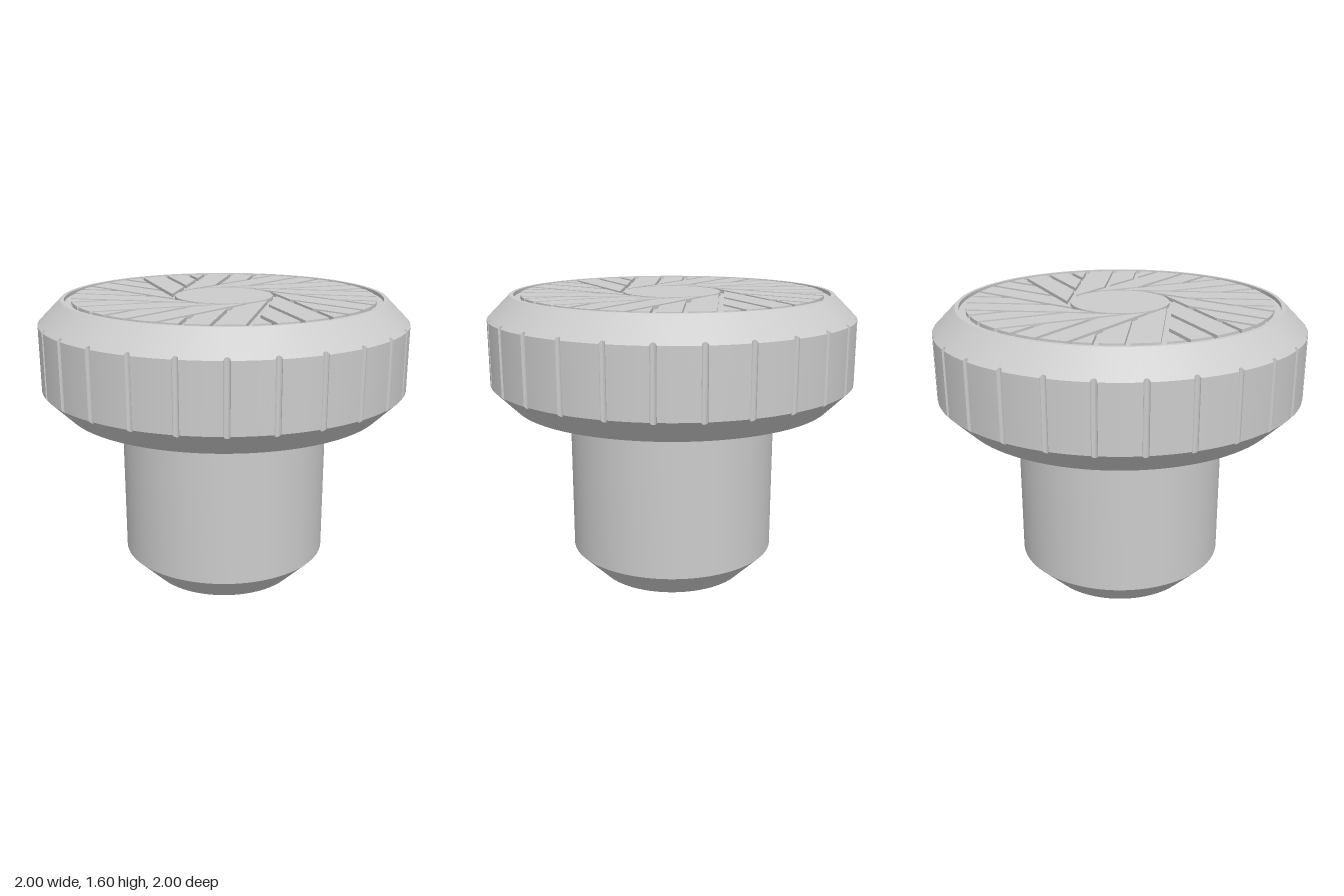
import * as THREE from 'three';
import { toCreasedNormals } from 'three/addons/utils/BufferGeometryUtils.js';

const material = new THREE.MeshStandardMaterial({ color: 0xcccccc });
const TOP = 1.6, FLOOR = 1.58;

function addMesh(parent, name, geometry) {
  const mesh = new THREE.Mesh(geometry, material);
  mesh.name = name;
  parent.add(mesh);
  return mesh;
}

// Head: a chamfered disc whose rim is scored by 27 fine upright grooves
function headGeometry() {
  const grooves = 27, halfWidth = 0.016, depth = 0.014, plain = 8, scored = 8;
  const step = (Math.PI * 2) / grooves;
  const columns = [];
  for (let k = 0; k < grooves; k++) {
    const centre = k * step - 0.016;
    for (let i = 0; i < scored; i++) {
      const s = -Math.cos((Math.PI * i) / scored);
      columns.push([centre + s * halfWidth, 1 - depth * Math.sqrt(Math.max(0, 1 - s * s))]);
    }
    for (let i = 0; i < plain; i++) {
      columns.push([centre + halfWidth + (step - 2 * halfWidth) * (i / plain), 1]);
    }
  }
  // Section from the underside, round the rim, to the recessed floor on top
  const section = (r) => [
    [0.5, 1], [0.875, 1], [r, 1.125 - (1 - r)], [r, 1.475 + (1 - r)],
    [0.875, TOP], [0.855, TOP], [0.855, FLOOR], [0.1, FLOOR],
  ];
  const rows = section(1).length, positions = [], index = [];
  for (const [a, r] of columns) {
    for (const [radius, y] of section(r)) {
      positions.push(radius * Math.sin(a), y, radius * Math.cos(a));
    }
  }
  for (let j = 0; j < columns.length; j++) {
    const next = (j + 1) % columns.length;
    for (let i = 0; i < rows - 1; i++) {
      const a = j * rows + i, b = next * rows + i;
      index.push(a, b, b + 1, a, b + 1, a + 1);
    }
  }
  const g = new THREE.BufferGeometry();
  g.setAttribute('position', new THREE.Float32BufferAttribute(positions, 3));
  g.setIndex(index);
  return toCreasedNormals(g, 0.4);
}

// One slanted pad: a strip between two parallel offsets, ending on the
// neighbouring sector's edge inside and on the outer circle outside
const SECTORS = 12, PAD_RADIUS = 0.82, EDGE = 0.284;
const HEADING = THREE.MathUtils.degToRad(13);

function padShape(o1, o2) {
  const turn = (Math.PI * 2) / SECTORS;
  const at = (t, o) => new THREE.Vector2(
    t * Math.sin(HEADING) - o * Math.cos(HEADING),
    t * Math.cos(HEADING) + o * Math.sin(HEADING));
  const inner = (o) => at((EDGE - o * Math.cos(turn)) / Math.sin(turn), o);
  const points = [inner(o1)];
  const a1 = Math.asin(o1 / PAD_RADIUS), a2 = Math.asin(o2 / PAD_RADIUS);
  for (let i = 0; i <= 6; i++) {
    const a = a1 + (a2 - a1) * (i / 6);
    points.push(at(PAD_RADIUS * Math.cos(a), PAD_RADIUS * Math.sin(a)));
  }
  // The last strip tapers to a point on the circle, so it needs no inner corner
  if (o2 > -0.1) points.push(inner(o2));
  return new THREE.Shape(points);
}

function createTopPattern() {
  const pattern = new THREE.Group();
  pattern.name = 'topPattern';
  const tip = PAD_RADIUS * Math.sin(Math.asin(EDGE / PAD_RADIUS) - (Math.PI * 2) / SECTORS);
  const strips = { longPad: [0.257, 0.123], mediumPad: [0.096, -0.021], shortPad: [-0.05, tip] };
  for (const [name, [o1, o2]] of Object.entries(strips)) {
    const g = new THREE.ExtrudeGeometry(padShape(o1, o2), { depth: TOP - FLOOR, bevelEnabled: false });
    g.rotateX(-Math.PI / 2);
    for (let k = 0; k < SECTORS; k++) {
      const pad = addMesh(pattern, name, g);
      pad.position.y = FLOOR;
      pad.rotation.y = (k * Math.PI * 2) / SECTORS;
    }
  }
  // Plain round boss in the middle of the pads
  const hub = new THREE.CylinderGeometry(0.265, 0.265, TOP - FLOOR, 64);
  addMesh(pattern, 'centreHub', hub).position.y = (TOP + FLOOR) / 2;
  return pattern;
}

export function createModel() {
  const model = new THREE.Group();
  model.name = 'knob';

  // Shaft with a chamfered foot
  const profile = [[0, 0], [0.42, 0], [0.572, 0.152], [0.572, 1.02]].map(([x, y]) => new THREE.Vector2(x, y));
  addMesh(model, 'shaft', toCreasedNormals(new THREE.LatheGeometry(profile, 96), 0.4));

  addMesh(model, 'head', headGeometry());
  model.add(createTopPattern());
  return model;
}
